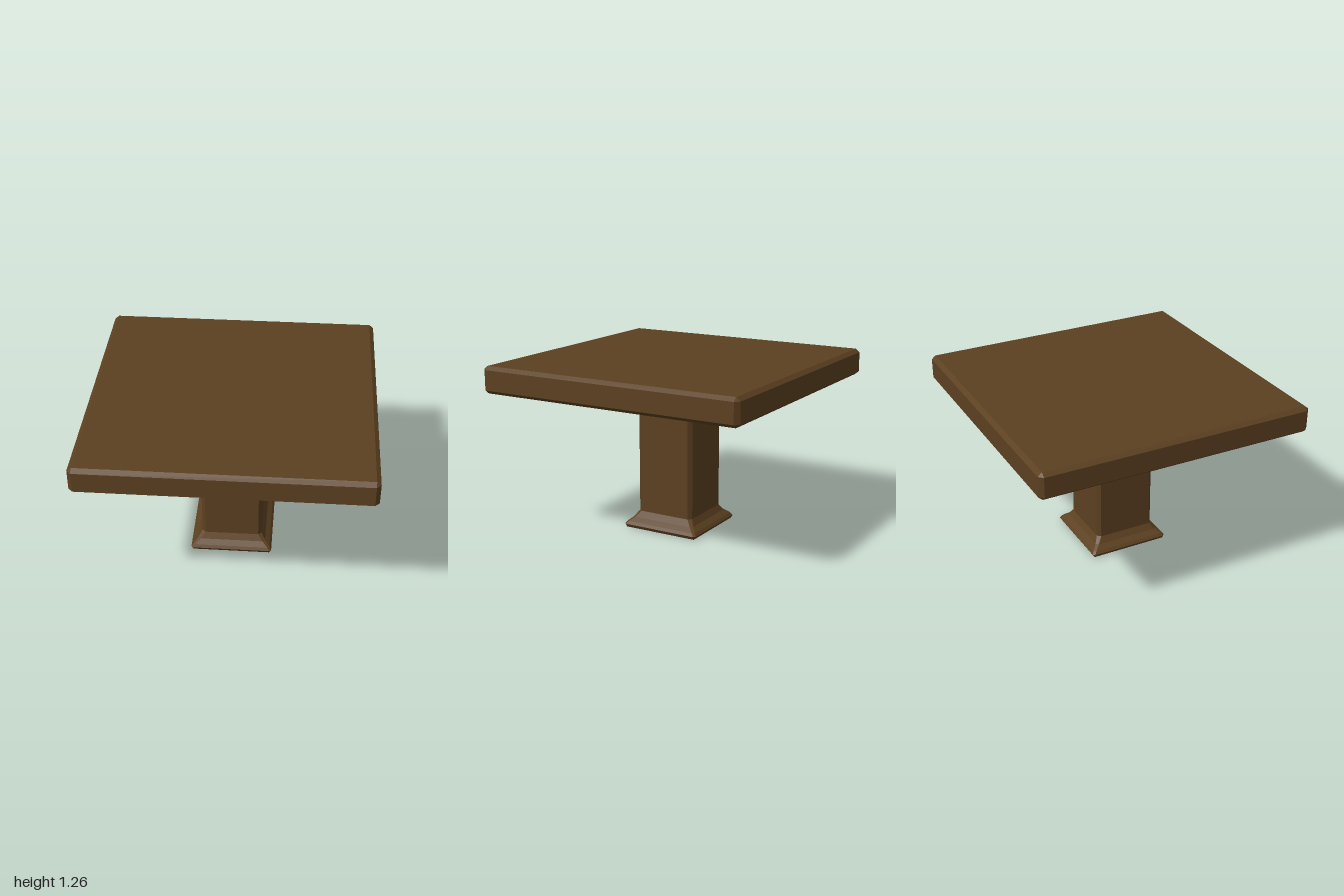
import * as THREE from 'three';

const wood = new THREE.MeshStandardMaterial({ color: 0x5c4020, flatShading: true });

// Square ring of the given half width with its corners cut off, anticlockwise from above
function ring({ y, half, cut }) {
  const h = half, k = half - cut;
  return [[h, k], [h, -k], [k, -h], [-k, -h], [-h, -k], [-h, k], [-k, h], [k, h]]
    .map(([x, z]) => new THREE.Vector3(x, y, z));
}

// Closed solid through a stack of [y, half, cut] levels, bottom to top
function loft(name, levels) {
  const rings = levels.map(([y, half, cut]) => ring({ y, half, cut }));
  const points = [];
  const tri = (a, b, c) => {
    if (new THREE.Triangle(a, b, c).getArea() > 1e-8) points.push(a, b, c);
  };
  for (let r = 0; r < rings.length - 1; r++) {
    const low = rings[r], high = rings[r + 1];
    for (let i = 0; i < 8; i++) {
      const j = (i + 1) % 8;
      tri(low[i], low[j], high[j]);
      tri(low[i], high[j], high[i]);
    }
  }
  const bottom = rings[0], top = rings[rings.length - 1];
  for (let i = 1; i < 7; i++) {
    tri(top[0], top[i], top[i + 1]);
    tri(bottom[0], bottom[i + 1], bottom[i]);
  }
  const geometry = new THREE.BufferGeometry().setFromPoints(points);
  geometry.computeVertexNormals();
  const mesh = new THREE.Mesh(geometry, wood);
  mesh.name = name;
  return mesh;
}

export function createModel() {
  const model = new THREE.Group();
  model.name = 'pedestalTable';

  // Bevelled square slab
  model.add(loft('tableTop', [
    [1.065, 0.97, 0], [1.09, 1, 0.03], [1.235, 1, 0.03], [1.26, 0.97, 0],
  ]));

  // Pillar with a flared foot and a small flare under the slab
  model.add(loft('pedestal', [
    [0, 0.285, 0], [0.025, 0.3, 0.015], [0.045, 0.285, 0.015], [0.075, 0.25, 0.018],
    [0.12, 0.223, 0.025], [1.035, 0.223, 0.025], [1.066, 0.255, 0],
  ]));

  return model;
}
